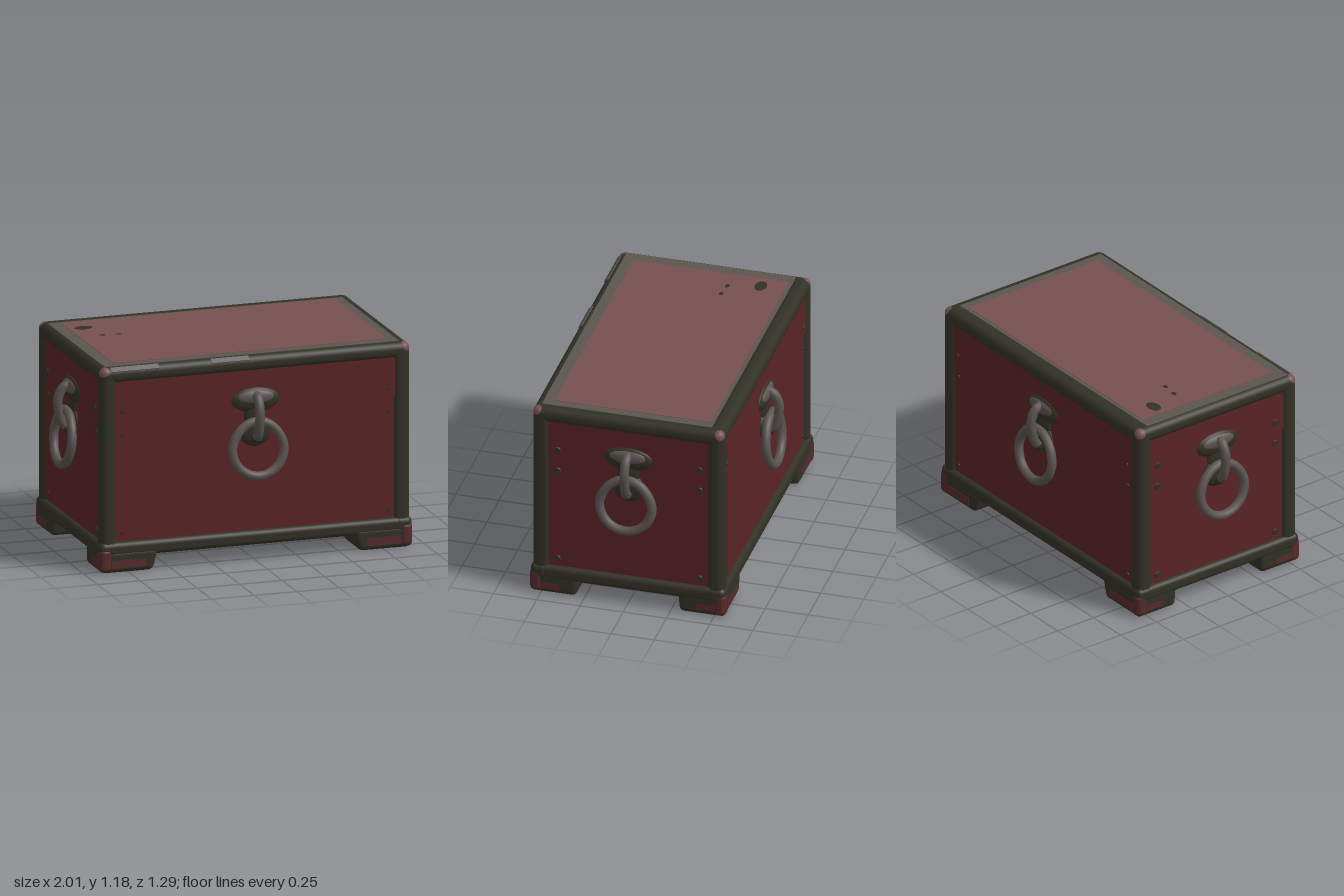
import * as THREE from 'three';
import { RoundedBoxGeometry } from 'three/addons/geometries/RoundedBoxGeometry.js';

const makeMat = (name, color, side = THREE.FrontSide) => {
  const m = new THREE.MeshStandardMaterial({ color, side });
  m.name = name;
  return m;
};

export function createModel() {
  const model = new THREE.Group();
  model.name = 'chest';
  const red = makeMat('redPanel', 0x5a2325);
  const olive = makeMat('oliveFrame', 0x323126);
  const pink = makeMat('fadedLid', 0x765050);
  const grey = makeMat('wornMetal', 0x5a5350);
  const taupe = makeMat('wornRim', 0x5c5550);
  const wornRed = makeMat('wornRedCorner', 0x572a2b);

  const add = (parent, name, geo, mat, x = 0, y = 0, z = 0) => {
    const mesh = new THREE.Mesh(geo, mat);
    mesh.name = name;
    mesh.position.set(x, y, z);
    parent.add(mesh);
    return mesh;
  };
  const box = (w, h, d) => new THREE.BoxGeometry(w, h, d);
  const round = (w, h, d, r) => new RoundedBoxGeometry(w, h, d, 4, r);
  const signs = [1, -1];

  const HX = 0.91, HZ = 0.553, TOP = 1.18;

  // Red body, with the lid standing slightly proud above the seam
  add(model, 'lowerPanels', box(1.778, 0.75, 1.066), red, 0, 0.49, 0);
  add(model, 'lidPanels', box(1.79, 0.27, 1.078), red, 0, 1.003, 0);
  add(model, 'bottomBoard', box(1.78, 0.05, 1.07), olive, 0, 0.118, 0);

  // Rounded frame beams along the twelve edges
  for (const sx of signs) {
    for (const sz of signs) {
      add(model, 'cornerPost', round(0.1, 1.08, 0.1, 0.042), olive,
        sx * (HX - 0.05), 0.64, sz * (HZ - 0.05));
    }
    add(model, 'topSideBeam', round(0.1, 0.094, 2 * HZ, 0.042), olive, sx * (HX - 0.05), TOP - 0.047, 0);
    add(model, 'bottomSideBeam', round(0.1, 0.085, 2 * HZ + 0.02, 0.03), olive, sx * (HX - 0.042), 0.132, 0);
    add(model, 'topLongBeam', round(2 * HX, 0.094, 0.1, 0.042), olive, 0, TOP - 0.047, sx * (HZ - 0.05));
    add(model, 'bottomLongBeam', round(2 * HX + 0.02, 0.085, 0.1, 0.03), olive, 0, 0.132, sx * (HZ - 0.042));
  }

  // Lid top with its worn inner rim
  add(model, 'lidBoard', box(1.7, 0.06, 1.0), olive, 0, 1.14, 0);
  add(model, 'wornRim', box(1.73, 0.008, 0.98), taupe, -0.01, 1.1775, 0.02);
  add(model, 'lidTop', box(1.61, 0.008, 0.9), pink, 0, 1.1795, 0);
  const spot = (name, x, z, rx, rz) => {
    const s = add(model, name, new THREE.CylinderGeometry(1, 1, 0.006, 16), olive, x, 1.182, z);
    s.scale.set(rx, 1, rz);
  };
  spot('lidStain', -0.72, -0.31, 0.052, 0.034);
  spot('lidNick', -0.67, -0.13, 0.018, 0.012);
  spot('lidNick', -0.58, -0.12, 0.018, 0.012);

  // Worn chips along the top front edge
  for (const [x, w] of [[-0.15, 0.22], [-0.71, 0.28]]) {
    add(model, 'edgeChip', box(w, 0.03, 0.006), grey, x, TOP - 0.0115, HZ - 0.0115).rotation.x = -Math.PI / 4;
  }

  // Feet: an L-shaped silhouette with a sloping inner side
  const footGeo = (w, d) => {
    const g = round(w, 0.13, d, 0.03);
    const p = g.attributes.position;
    for (let i = 0; i < p.count; i++) {
      const t = (p.getY(i) + 0.065) / 0.13;
      if (p.getX(i) < 0) p.setX(i, p.getX(i) - 0.035 * t);
      if (p.getZ(i) < 0) p.setZ(i, p.getZ(i) - 0.01 * t);
    }
    g.computeVertexNormals();
    return g;
  };
  const foot = footGeo(0.31, 0.265);
  signs.forEach((sx) => signs.forEach((sz) => {
    const corner = new THREE.Group();
    corner.name = 'corner';
    corner.scale.set(sx, 1, sz);
    model.add(corner);
    add(corner, 'foot', foot, olive, 0.759, 0.065, 0.429);
    // Rubbed red corner and the scuffed foot faces
    add(corner, 'rubbedFootCorner', round(0.075, 0.14, 0.075, 0.03), wornRed, 0.883, 0.074, 0.53);
    add(corner, 'footScuffLong', box(0.2, 0.045, 0.008), wornRed, 0.75, 0.05, 0.56);
    add(corner, 'footScuffSide', box(0.008, 0.035, 0.11), wornRed, 0.912, 0.048, 0.45);
    add(corner, 'rubbedTopCorner', round(0.075, 0.075, 0.075, 0.036), pink, HX - 0.038, TOP - 0.038, HZ - 0.038);
  }));

  // Worn patch on the underside
  const patch = new THREE.Shape();
  patch.setFromPoints(new THREE.SplineCurve([
    [-0.58, 0], [-0.45, 0.24], [-0.1, 0.2], [0.25, 0.28], [0.56, 0.12],
    [0.5, -0.18], [0.15, -0.22], [-0.3, -0.28], [-0.58, 0],
  ].map(([x, y]) => new THREE.Vector2(x, y))).getPoints(48));
  add(model, 'undersidePatch', new THREE.ShapeGeometry(patch), grey, 0, 0.0915, 0).rotation.x = Math.PI / 2;

  // Ring handle: back plate, staple and hanging ring; z = 0 is the frame face
  const staplePath = new THREE.CatmullRomCurve3([
    [0.955, 0], [0.94, 0.035], [0.88, 0.065], [0.8, 0.06], [0.73, 0.035], [0.695, -0.015],
  ].map(([y, z]) => new THREE.Vector3(0, y, z)));
  const ringPath = new THREE.CatmullRomCurve3(Array.from({ length: 24 }, (_, i) => {
    const a = (i / 24) * Math.PI * 2;
    const up = Math.sin(a);
    const w = 0.152 * (1 - 0.1 * Math.max(0, up));
    return new THREE.Vector3(w * Math.cos(a), 0.655 + 0.153 * up, 0.036 - 0.018 * up);
  }), true);
  const makeHandle = () => {
    const g = new THREE.Group();
    g.name = 'ringHandle';
    const dome = (name, mat, x, y, z, rx, ry, rz) => {
      add(g, name, new THREE.SphereGeometry(1, 28, 16), mat, x, y, z).scale.set(rx, ry, rz);
    };
    dome('backPlate', olive, 0, 0.925, -0.022, 0.145, 0.073, 0.036);
    dome('plateFace', grey, 0, 0.94, -0.012, 0.115, 0.046, 0.032);
    dome('plateNeck', olive, 0, 0.84, -0.022, 0.065, 0.1, 0.03);
    dome('lowerBoss', olive, 0, 0.745, -0.022, 0.092, 0.09, 0.036);
    add(g, 'staple', new THREE.TubeGeometry(staplePath, 24, 0.027, 12), grey);
    dome('stapleTip', olive, 0, 0.71, 0.012, 0.031, 0.032, 0.03);
    add(g, 'ring', new THREE.TubeGeometry(ringPath, 64, 0.026, 12, true), grey);
    return g;
  };

  // Handles and studs on all four sides
  for (let i = 0; i < 4; i++) {
    const long = i % 2 === 0;
    const side = new THREE.Group();
    side.name = ['frontFittings', 'leftFittings', 'backFittings', 'rightFittings'][i];
    side.rotation.y = (i * Math.PI) / 2;
    model.add(side);
    const handle = makeHandle();
    handle.position.z = long ? HZ : HX;
    side.add(handle);
    for (const s of signs) {
      for (const y of [0.92, 0.785, 0.22]) {
        const face = (long ? 0.533 : 0.889) + (y > 0.87 ? 0.006 : 0);
        const r = long ? 0.011 : 0.021;
        add(side, 'stud', new THREE.CylinderGeometry(r * 0.8, r, 0.008, 12), olive,
          s * (long ? 0.78 : 0.41), y, face + 0.003).rotation.x = Math.PI / 2;
      }
    }
  }
  return model;
}
